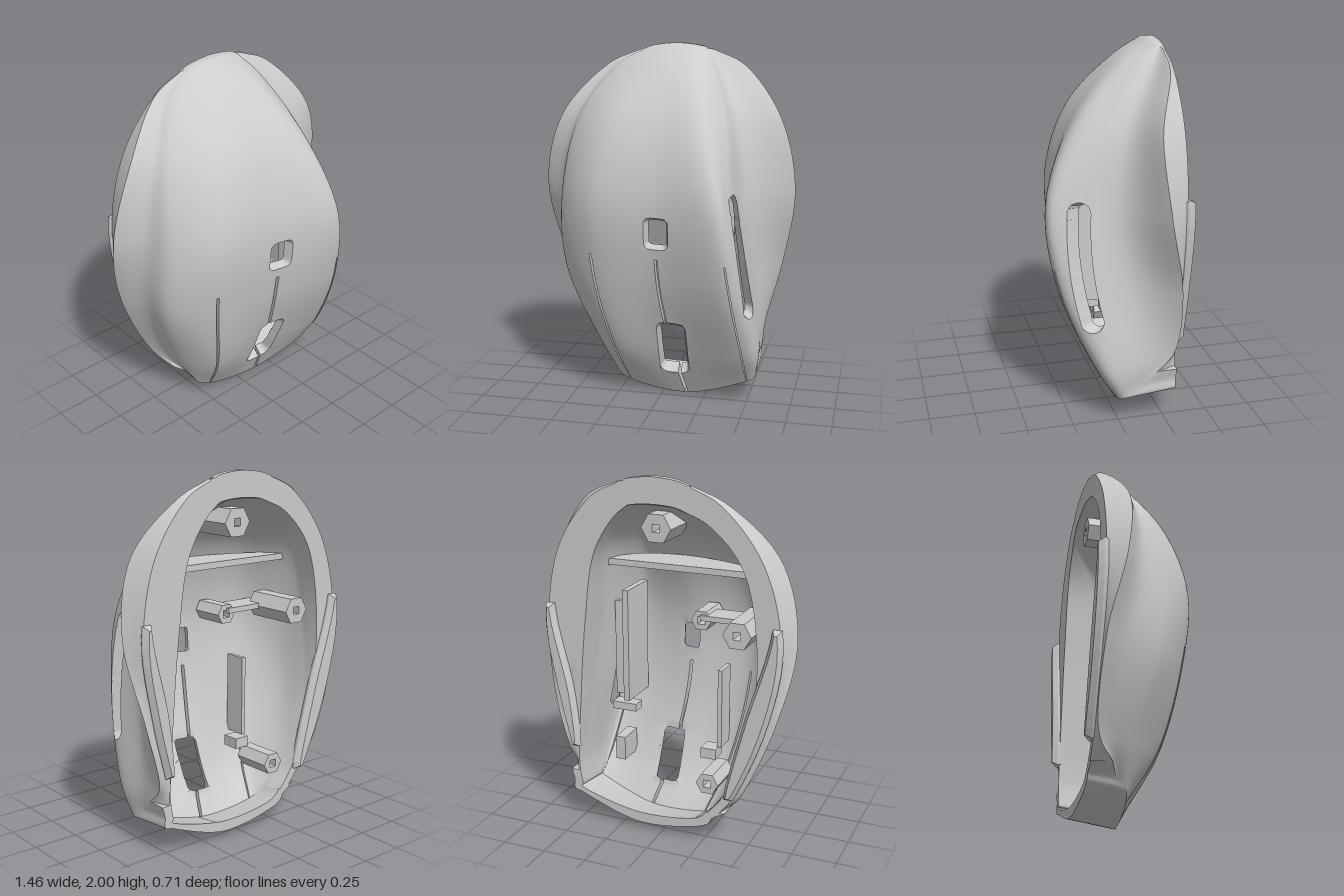
import * as THREE from 'three';
import { toCreasedNormals } from 'three/addons/utils/BufferGeometryUtils.js';

const BACK = -0.31;
const { clamp, lerp } = THREE.MathUtils;
const grey = new THREE.MeshStandardMaterial({ color: 0xcccccc, side: THREE.DoubleSide });

// Lengthwise rails of the shell, from nose lip to the rounded crown
const levels = [0, 0.3, 0.75, 1.2, 1.6, 1.88, 2];
const rail = (lip, x, z) => levels.map((y, i) => {
  if (i < 2) y = i ? Math.max(y, lip + 0.1) : lip;
  if (i === 6) y -= 0.8 * (x[i] - 0.03) ** 2;
  return new THREE.Vector3(x[i], y, z[i]);
});

// Both flange edges share one wavy depth line
const edgeZ = [-.2, -.29, -.3, -.21, -.18, -.28, -.295];
const rightEdge = rail(0.19, [-.38, -.465, -.655, -.73, -.62, -.37, -.18], edgeZ);
const leftEdge = rail(0.29, [.56, .565, .655, .725, .64, .42, .24], edgeZ);
// Ridges along the sides of the hump
const rightRidge = rail(0.08, [-.28, -.4, -.555, -.555, -.47, -.29, -.14], [-.11, -.09, .01, .04, -.05, -.21, -.285]);
const leftRidge = rail(0.14, [.54, .555, .5, .425, .36, .25, .19], [-.02, .07, .22, .25, .05, -.16, -.28]);
// Rails that carry the three button slits
const rightSlit = rail(0.04, [-.2, -.265, -.35, -.36, -.28, -.16, -.08], [-.09, .06, .17, .21, .1, -.13, -.27]);
const midSlit = rail(0, [.14, .085, .03, .03, .03, .03, .03], [-.06, .08, .225, .265, .145, -.08, -.265]);
const leftSlit = rail(0.12, [.5, .485, .43, .37, .265, .16, .12], [0, .115, .3, .345, .17, -.085, -.27]);
// The hollow waist lies between ridge and flange edge
const waist = (ridge, edge, f) => ridge.map((p, i) => new THREE.Vector3(
  lerp(p.x, edge[i].x, f), lerp(p.y, edge[i].y, 0.5), lerp(p.z, edge[i].z, 0.6)));
const rails = [rightEdge, waist(rightRidge, rightEdge, 0.3), rightRidge, rightSlit, midSlit, leftSlit,
  leftRidge, waist(leftRidge, leftEdge, 0.2), leftEdge];

// Inner skin: the same rails drawn inwards, with the flange replaced by a straight wall
const innerY = y => (y > 1.5 ? 1.5 + (y - 1.5) * 0.72 : y < 0.3 ? 0.06 + y * 0.8 : y);
const innerRails = rails.map((_, i) => rails[clamp(i, 1, 7)].map(p => new THREE.Vector3(
  lerp(0.06, p.x, i > 2 && i < 6 ? 1 : 0.9), innerY(p.y), Math.max(BACK + 0.004, p.z - (i % 8 ? 0.05 : 0.12)))));

const U = rails.length - 1, V = levels.length - 1;

// Parameter stops: n[i] steps in each span, with a flat band before and after
function stops(n, extra = []) {
  const s = [n.length - 1];
  n.forEach((k, i) => { for (let j = 0; j < k; j++) s.push(i - 1 + j / k); });
  return s.concat(extra).sort((a, b) => a - b);
}
const slitLines = [3, 4, 5], slitHalf = 0.023;
const us = stops([4, 10, 10, 10, 24, 24, 24, 20, 10, 4], slitLines.flatMap(k => [k - slitHalf, k + slitHalf]));
const vs = stops([4, 20, 28, 28, 20, 12, 10, 4]);

// Points of one skin, row by row; the bands run straight to the back plane
function skin(set, inset) {
  const curves = set.map(r => new THREE.CatmullRomCurve3(r));
  return vs.map(v => {
    const row = new THREE.CatmullRomCurve3(curves.map(c => c.getPoint(clamp(v / V, 0, 1))));
    const tv = Math.max(0, -v, v - V);
    return us.map(u => {
      const s = clamp(u / U, 0, 1), p = row.getPoint(s);
      const tu = Math.max(0, -u, u - U);
      p.x *= 1 - tu * inset;
      p.z = lerp(p.z, BACK, Math.max(tu, tv));
      if (v < 0) p.y += 0.04 * tv * Math.sin(Math.PI * s);
      return p;
    });
  });
}

// Openings, as signed distances on the shell
const roundBox = (cx, cy, hw, hh, r) => (a, b) => {
  const dx = Math.abs(a - cx) - hw + r, dy = Math.abs(b - cy) - hh + r;
  return Math.hypot(Math.max(dx, 0), Math.max(dy, 0)) + Math.min(Math.max(dx, dy), 0) - r;
};
const thumbSlot = (z, y) => {
  const c = clamp(y, 0.6, 1.17);
  return Math.hypot(z - (0.205 - 0.3 * (c - 1.03) ** 2), y - c) - 0.06;
};
const openings = [
  { axis: 'x', from: 3, to: 5, d: roundBox(0.03, 1.01, 0.07, 0.088, 0.035) },
  { axis: 'x', from: 3, to: 5, d: roundBox(0.088, 0.312, 0.085, 0.17, 0.045) },
  { axis: 'z', from: 5.1, to: 7.5, d: thumbSlot },
];
const TAPER = 0.02;

function shellGeometry() {
  const outer = skin(rails, 0.08), inner = skin(innerRails, 0);
  // the opening each cell falls in, if any
  const openingAt = vs.slice(1).map((_, j) => us.slice(1).map((_, i) => {
    const c = outer[j][i].clone().add(outer[j + 1][i + 1]).multiplyScalar(0.5);
    return openings.find(o => us[i] > o.from && us[i] < o.to && o.d(c[o.axis], c.y) < 0);
  }));
  // draw the border points on to the rim of the opening, tapering inwards
  outer.forEach((row, j) => row.forEach((p, i) => {
    const around = [[j - 1, i - 1], [j - 1, i], [j, i - 1], [j, i]].map(([r, c]) => openingAt[r]?.[c]);
    const o = around.find(Boolean);
    if (!o || around.every(Boolean)) return;
    const a = p[o.axis], d = o.d(a, p.y), e = 1e-4;
    const ga = (o.d(a + e, p.y) - d) / e, gy = (o.d(a, p.y + e) - d) / e;
    [[p, d], [inner[j][i], d + TAPER]].forEach(([q, k]) => { q[o.axis] -= k * ga; q.y -= k * gy; });
  }));
  const keep = (j, i) => {
    if (j < 0 || i < 0 || j >= vs.length - 1 || i >= us.length - 1 || openingAt[j][i]) return false;
    const u = (us[i] + us[i + 1]) / 2;
    return vs[j] < 0 || outer[j][i].y > 0.855 || !slitLines.some(k => Math.abs(u - k) < slitHalf);
  };
  const pos = [];
  const quad = (a, b, c, d) => { for (const p of [a, b, c, a, c, d]) pos.push(p.x, p.y, p.z); };
  for (let j = 0; j < vs.length - 1; j++) for (let i = 0; i < us.length - 1; i++) {
    if (!keep(j, i)) continue;
    const ring = [[j, i], [j, i + 1], [j + 1, i + 1], [j + 1, i]];
    const o = ring.map(([r, c]) => outer[r][c]), n = ring.map(([r, c]) => inner[r][c]);
    quad(...o);
    quad(n[3], n[2], n[1], n[0]);
    // close the thickness wherever the neighbouring cell is missing
    [[j - 1, i], [j, i + 1], [j + 1, i], [j, i - 1]].forEach(([r, c], k) => {
      const m = (k + 1) % 4;
      if (!keep(r, c)) quad(o[m], o[k], n[k], n[m]);
    });
  }
  const g = new THREE.BufferGeometry();
  g.setAttribute('position', new THREE.Float32BufferAttribute(pos, 3));
  return toCreasedNormals(g, 0.6);
}

export function createModel() {
  const model = new THREE.Group();
  const add = (name, geometry, x = 0, y = 0, z = 0) => {
    const m = new THREE.Mesh(geometry, grey);
    m.name = name;
    m.position.set(x, y, z);
    model.add(m);
    return m;
  };
  const box = (name, w, h, d, x, y, z) => add(name, new THREE.BoxGeometry(w, h, d), x, y, z);
  const ngon = (n, r, turn) => Array.from({ length: n }, (_, k) => {
    const a = turn + k * 2 * Math.PI / n;
    return new THREE.Vector2(r * Math.cos(a), r * Math.sin(a));
  });

  add('shell', shellGeometry());

  // Screw posts: six-sided prisms with a square hole
  const post = (name, x, y, r, z0, z1) => {
    const s = new THREE.Shape(ngon(6, r, 0));
    s.holes.push(new THREE.Path(ngon(4, 0.03, Math.PI / 4)));
    add(name, new THREE.ExtrudeGeometry(s, { depth: z1 - z0, bevelEnabled: false }), x, y, z0);
  };
  post('crownPost', 0.03, 1.73, 0.085, -0.28, -0.03);
  post('sidePost', -0.42, 1.2, 0.08, -0.27, 0.04);
  post('nosePost', -0.26, 0.33, 0.065, -0.27, -0.04);
  post('sensorPost', -0.12, 1.18, 0.06, -0.02, 0.18);
  box('postWeb', 0.3, 0.03, 0.16, -0.27, 1.2, 0.04);

  // Cross rib below the crown, arched to follow the shell
  const rib = new THREE.Shape();
  rib.moveTo(-0.47, -0.1);
  rib.lineTo(0.4, -0.1);
  rib.bezierCurveTo(0.36, 0.2, -0.1, 0.2, -0.47, -0.04);
  add('crossRib', new THREE.ExtrudeGeometry(rib, { depth: 0.035, bevelEnabled: false }), 0, 1.5, 0)
    .rotation.x = Math.PI / 2;

  // Carrier behind the thumb slot
  box('thumbCarrier', 0.035, 0.66, 0.26, 0.33, 0.98, 0.08);
  box('thumbCarrierFlange', 0.08, 0.56, 0.03, 0.38, 0.95, 0.02);
  box('carrierClip', 0.15, 0.045, 0.08, 0.36, 0.6, 0.02);

  // Plungers beneath the buttons
  box('buttonRib', 0.025, 0.46, 0.13, -0.24, 0.68, 0.03);
  box('buttonPlunger', 0.09, 0.06, 0.1, -0.19, 0.42, -0.03);
  box('buttonStem', 0.06, 0.14, 0.16, 0.36, 0.36, 0);

  // Crescent feet that follow the flange edge on the back rim
  const foot = (name, edge, from, to, width) => {
    const curve = new THREE.CatmullRomCurve3(edge), outside = [], inside = [];
    for (let k = 0; k <= 12; k++) {
      const p = curve.getPoint(lerp(from, to, k / 12)), x = p.x * 0.94;
      outside.push(new THREE.Vector2(x, p.y));
      inside.unshift(new THREE.Vector2(x - Math.sign(x) * (0.05 + width * Math.sin(Math.PI * k / 12)), p.y));
    }
    add(name, new THREE.ExtrudeGeometry(new THREE.Shape(outside.concat(inside)), {
      depth: 0.01, bevelThickness: 0.03, bevelSize: 0.02, bevelOffset: -0.02, bevelSegments: 1,
    }), 0, 0, -0.322);
  };
  foot('rightFoot', rightEdge, 0.15, 0.53, 0.08);
  foot('leftFoot', leftEdge, 0.2, 0.53, 0.05);
  return model;
}
